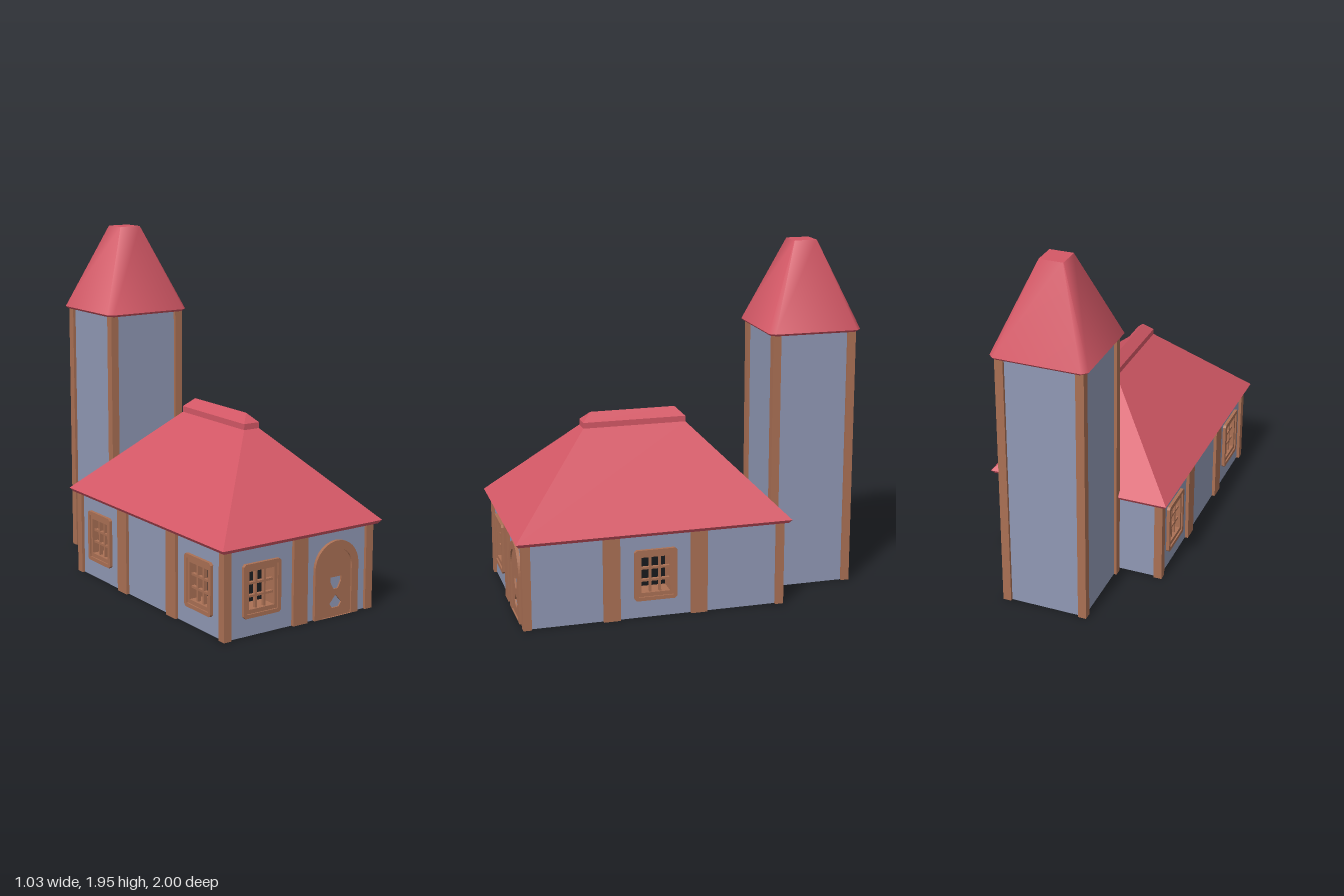
import * as THREE from 'three';
import { toCreasedNormals } from 'three/addons/utils/BufferGeometryUtils.js';

const mat = (name, color) => {
  const m = new THREE.MeshStandardMaterial({ color });
  m.name = name;
  return m;
};

export function createModel() {
  const stone = mat('blue grey plaster', 0x9098b4);
  const wood = mat('brown wood', 0xaa7054);
  const tile = mat('red roof', 0xd45866);

  const add = (parent, name, geo, material, x = 0, y = 0, z = 0) => {
    const m = new THREE.Mesh(geo, material);
    m.name = name;
    m.position.set(x, y, z);
    parent.add(m);
    return m;
  };
  const box = (w, h, d) => new THREE.BoxGeometry(w, h, d);

  // Closed solid through rings of points, bottom to top
  const loft = (rings) => {
    const p = [];
    const tri = (...v) => v.forEach((q) => p.push(...q));
    const n = rings[0].length;
    for (let r = 0; r + 1 < rings.length; r++) {
      for (let i = 0; i < n; i++) {
        const j = (i + 1) % n, a = rings[r], b = rings[r + 1];
        tri(a[i], a[j], b[j]);
        tri(a[i], b[j], b[i]);
      }
    }
    const lo = rings[0], hi = rings[rings.length - 1];
    for (let i = 1; i + 1 < n; i++) {
      tri(lo[0], lo[i + 1], lo[i]);
      tri(hi[0], hi[i], hi[i + 1]);
    }
    const g = new THREE.BufferGeometry();
    g.setAttribute('position', new THREE.Float32BufferAttribute(p, 3));
    g.computeVertexNormals();
    return g;
  };
  const rect = (hx, hz, y) => [[hx, y, hz], [hx, y, -hz], [-hx, y, -hz], [-hx, y, hz]];
  // Square ring with cut corners
  const cutSquare = (h, c, y) => [[h, h - c], [h, c - h], [h - c, -h], [c - h, -h],
    [-h, c - h], [-h, h - c], [c - h, h], [h - c, h]].map(([x, z]) => [x, y, z]);

  // Flat outlines for walls, frames and door
  const outline = (pts, Type = THREE.Shape) => new Type(pts.map(([x, y]) => new THREE.Vector2(x, y)));
  const panel = (cx, cy, hx, hy, Type) =>
    outline([[cx - hx, cy - hy], [cx + hx, cy - hy], [cx + hx, cy + hy], [cx - hx, cy + hy]], Type);
  const cutPanel = (hx, hy, c) => outline([[c - hx, -hy], [hx - c, -hy], [hx, c - hy], [hx, hy - c],
    [hx - c, hy], [c - hx, hy], [-hx, hy - c], [-hx, c - hy]]);
  const arch = (r, spring, Type = THREE.Shape) => {
    const s = new Type();
    s.moveTo(-r, 0);
    s.lineTo(r, 0);
    s.lineTo(r, spring);
    s.absarc(0, spring, r, 0, Math.PI, false);
    s.lineTo(-r, 0);
    return s;
  };
  const slab = (shape, holes, back, front) => {
    shape.holes.push(...holes);
    return new THREE.ExtrudeGeometry(shape, { depth: front - back, bevelEnabled: false, curveSegments: 12 })
      .translate(0, 0, back);
  };

  const WIN_Y = 0.243, OPEN_X = 0.08, OPEN_Y = 0.1;

  const addWindow = (side, x) => {
    const g = new THREE.Group();
    g.name = 'window';
    g.position.set(x, WIN_Y, 0);
    side.add(g);
    add(g, 'windowOuterFrame',
      slab(cutPanel(0.118, 0.143, 0.012), [panel(0, 0, 0.097, 0.122, THREE.Path)], -0.1, 0.018), wood);
    add(g, 'windowInnerFrame',
      slab(panel(0, 0, 0.097, 0.122), [panel(0, 0, OPEN_X, OPEN_Y, THREE.Path)], -0.095, 0.01), wood);
    for (const s of [-1, 1]) {
      add(g, 'uprightGlazingBar', box(0.012, OPEN_Y * 2, 0.02), wood, s * 0.027, 0, -0.012);
      add(g, 'levelGlazingBar', box(OPEN_X * 2, 0.012, 0.02), wood, 0, s * 0.034, -0.012);
    }
  };

  const addDoor = (side, x) => {
    const g = new THREE.Group();
    g.name = 'door';
    g.position.x = x;
    side.add(g);
    add(g, 'doorFrame', slab(arch(0.145, 0.27), [arch(0.1, 0.27, THREE.Path)], -0.05, 0.018), wood);
    const cutouts = [
      [[-0.037, 0.216], [0.037, 0.216], [0.037, 0.192], [0.015, 0.15], [-0.015, 0.15], [-0.037, 0.192]],
      [[0, 0.118], [0.04, 0.073], [0.023, 0.047], [-0.023, 0.047], [-0.04, 0.073]],
    ].map((pts) => outline(pts, THREE.Path));
    add(g, 'doorLeaf', slab(arch(0.1, 0.27), cutouts, -0.045, 0.009), wood);
  };

  // One wall facing local +z, with its windows and middle posts
  const addWall = (parent, name, angle, dist, half, height, windows, posts) => {
    const side = new THREE.Group();
    side.name = name;
    side.rotation.y = angle;
    side.position.set(Math.sin(angle) * dist, 0, Math.cos(angle) * dist);
    parent.add(side);
    const holes = windows.map((x) => panel(x, WIN_Y, OPEN_X + 0.01, OPEN_Y + 0.01, THREE.Path));
    add(side, 'wallPanel', slab(panel(0, height / 2, half, height / 2), holes, -0.025, 0), stone);
    windows.forEach((x) => addWindow(side, x));
    posts.forEach((x) => add(side, 'middlePost', box(0.092, height, 0.05), wood, x, height / 2, -0.007));
    return side;
  };
  const addCornerPosts = (parent, hx, hz, height) => {
    for (const sx of [-1, 1]) for (const sz of [-1, 1])
      add(parent, 'cornerPost', box(0.046, height, 0.046), wood,
        sx * (hx - 0.023), height / 2, sz * (hz - 0.023));
  };

  const model = new THREE.Group();
  model.name = 'houseWithTower';

  // House
  const house = new THREE.Group();
  house.name = 'house';
  house.position.z = 0.24;
  model.add(house);
  const H = 0.475, Q = Math.PI / 2;
  const front = addWall(house, 'frontWall', 0, 0.71, 0.465, H, [-0.245], [0]);
  addDoor(front, 0.24);
  addWall(house, 'leftWall', Q, 0.468, 0.71, H, [0], [-0.243, 0.243]);
  addWall(house, 'rightWall', -Q, 0.468, 0.71, H, [-0.49, 0.49], [-0.243, 0.243]);
  addWall(house, 'backWall', Math.PI, 0.71, 0.465, H, [], [0]);
  addCornerPosts(house, 0.485, 0.726, H);
  add(house, 'ceiling', box(0.9, 0.015, 1.38), wood, 0, 0.463, 0);

  // Hipped roof with a ridge cap
  add(house, 'hippedRoof', loft([
    rect(0.5, 0.745, 0.47), rect(0.516, 0.76, 0.49), rect(0.048, 0.29, 0.96),
  ]), tile);
  add(house, 'ridgeCap', loft([
    rect(0.048, 0.29, 0.95), rect(0.048, 0.29, 0.992), rect(0, 0.24, 1.04),
  ]), tile);

  // Tower
  const tower = new THREE.Group();
  tower.name = 'tower';
  tower.position.z = -0.733;
  model.add(tower);
  const T = 1.465;
  ['Front', 'Left', 'Back', 'Right'].forEach((n, i) =>
    addWall(tower, 'tower' + n + 'Wall', i * Q, 0.225, 0.225, T, [], []));
  addCornerPosts(tower, 0.241, 0.241, T);
  const spire = loft([
    cutSquare(0.255, 0.028, 1.455), cutSquare(0.266, 0.028, 1.467), cutSquare(0.066, 0.002, 1.945),
  ]);
  add(tower, 'towerRoof', toCreasedNormals(spire, 0.85), tile);

  return model;
}
